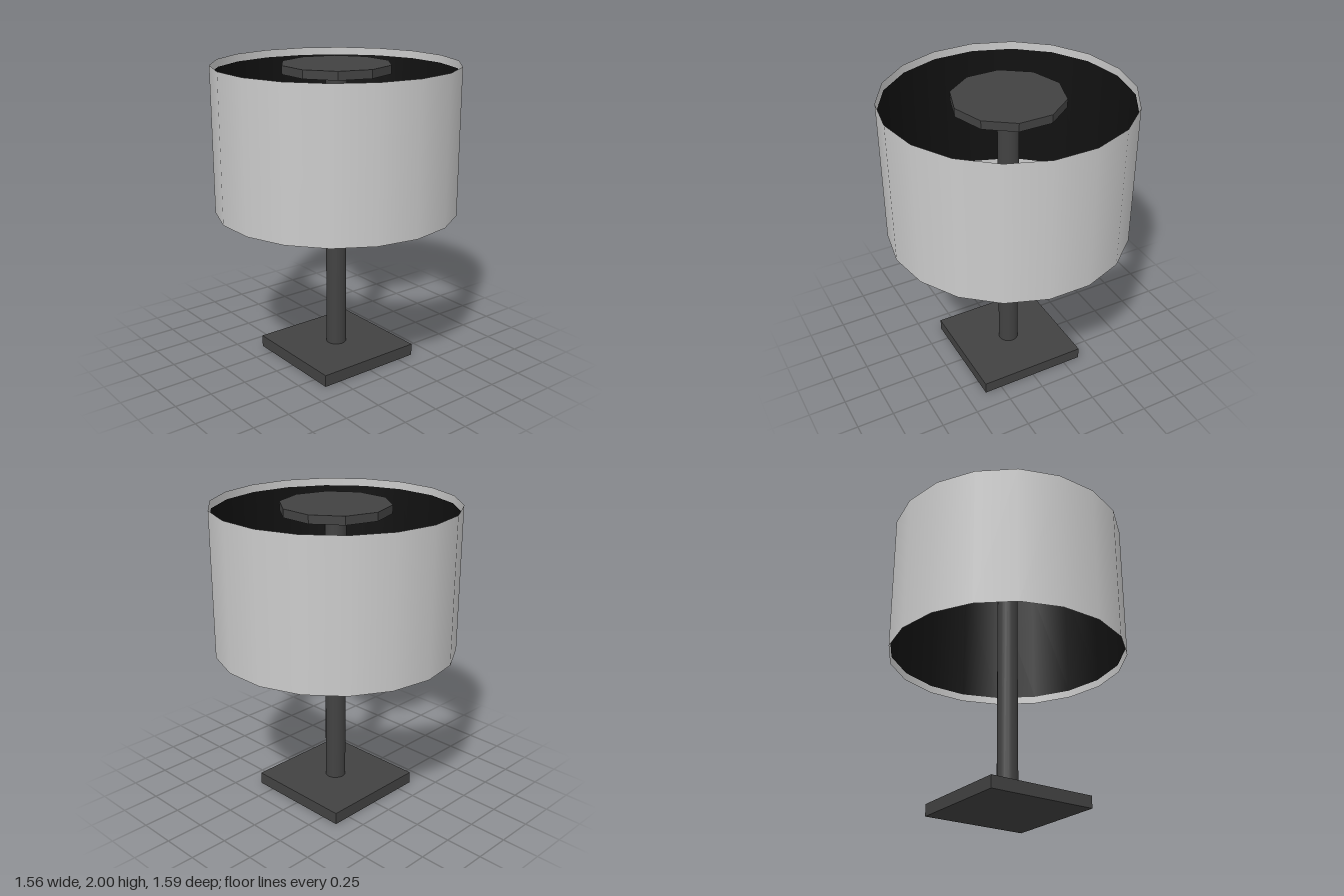
import * as THREE from 'three';

export function createModel() {
  const group = new THREE.Group();
  const fabric = new THREE.MeshStandardMaterial({ color: 0xcccccc, side: THREE.DoubleSide });
  const lining = new THREE.MeshStandardMaterial({ color: 0x111111, side: THREE.BackSide });
  const metal = new THREE.MeshStandardMaterial({ color: 0x424242 });
  const flatMetal = new THREE.MeshStandardMaterial({ color: 0x424242, flatShading: true });

  // Adds a part standing between two heights
  const add = (name, geometry, material, bottom, top) => {
    const mesh = new THREE.Mesh(geometry, material);
    mesh.name = name;
    mesh.position.y = (bottom + top) / 2;
    group.add(mesh);
  };
  const tube = (name, radius, sides, material, bottom, top, open) =>
    add(name, new THREE.CylinderGeometry(radius, radius, top - bottom, sides, 1, open), material, bottom, top);

  // Square foot and stem
  add('base', new THREE.BoxGeometry(0.74, 0.08, 0.74), metal, 0, 0.08);
  tube('stem', 0.068, 18, metal, 0.08, 1.95, false);

  // Ten-sided plate on top of the stem
  tube('topPlate', 0.357, 10, flatMetal, 1.945, 2, false);

  // Open drum shade with a slightly shorter dark lining facing inward
  tube('shade', 0.793, 18, fabric, 1.045, 2, true);
  tube('shadeLining', 0.787, 18, lining, 1.095, 1.95, true);

  return group;
}
